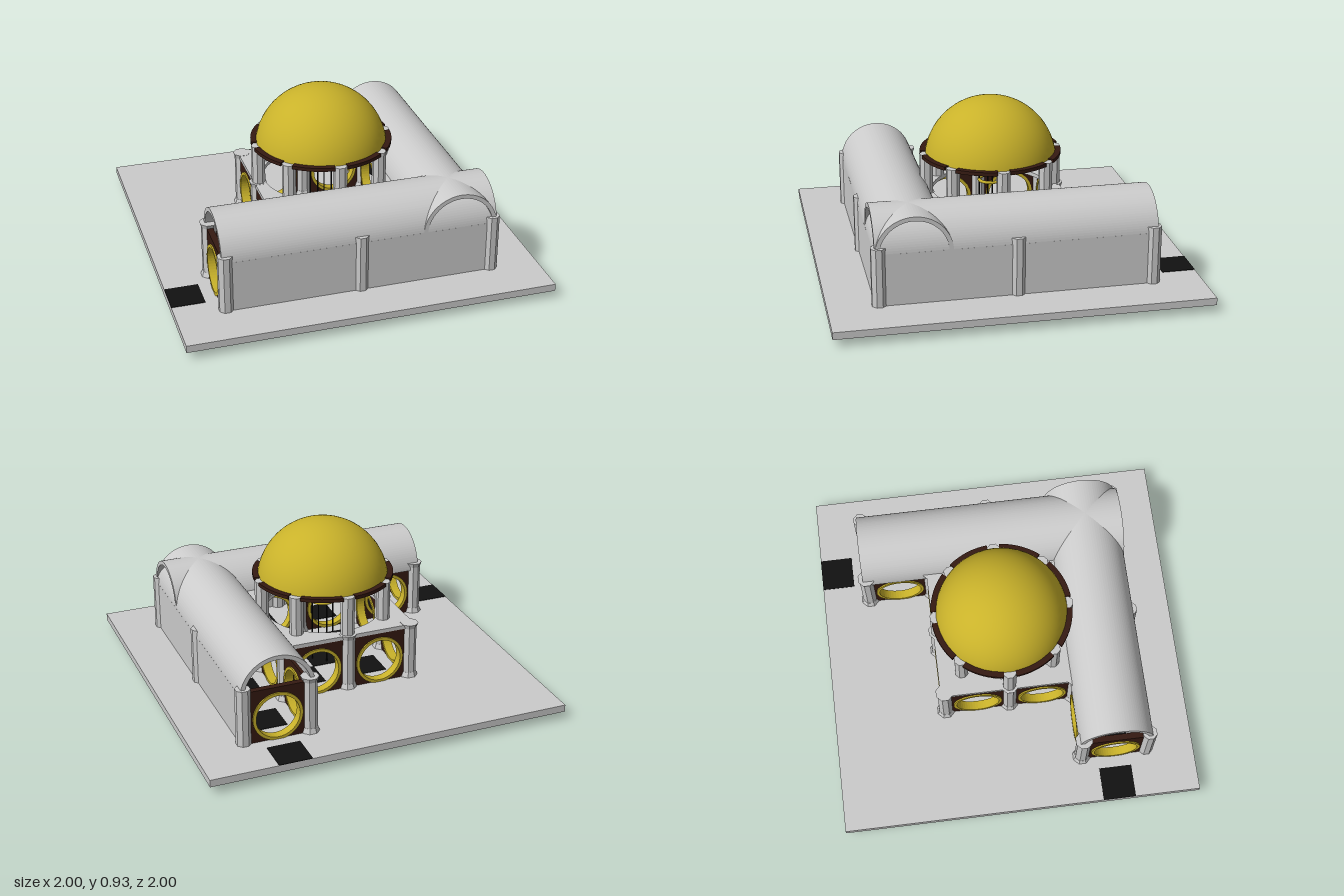
import * as THREE from 'three';

const GREY = new THREE.MeshStandardMaterial({ color: 0xcccccc, side: THREE.DoubleSide });
const STONE = new THREE.MeshStandardMaterial({ color: 0xcccccc, flatShading: true });
const GOLD = new THREE.MeshStandardMaterial({ color: 0xc9b22a, side: THREE.DoubleSide });
const BROWN = new THREE.MeshStandardMaterial({ color: 0x351a12 });
const BLACK = new THREE.MeshStandardMaterial({ color: 0x111111 });

const BAY = 0.365;      // spacing of the column grid
const FLOOR = 0.085;    // top of the ground slab
const MID = 0.545;      // centre line of both wings

export function createModel() {
  const model = new THREE.Group();

  const add = (parent, name, geometry, material, x = 0, y = 0, z = 0) => {
    const mesh = new THREE.Mesh(geometry, material);
    mesh.name = name;
    mesh.position.set(x, y, z);
    parent.add(mesh);
    return mesh;
  };
  const group = (name, parent = model) => {
    const g = new THREE.Group();
    g.name = name;
    parent.add(g);
    return g;
  };
  const box = (parent, name, material, [x0, x1], [y0, y1], [z0, z1]) =>
    add(parent, name, new THREE.BoxGeometry(x1 - x0, y1 - y0, z1 - z0), material,
      (x0 + x1) / 2, (y0 + y1) / 2, (z0 + z1) / 2);
  const extrude = (shape, depth, curveSegments = 24) =>
    new THREE.ExtrudeGeometry(shape, { depth, bevelEnabled: false, curveSegments })
      .translate(0, 0, -depth / 2);

  // Ground slab
  box(model, 'groundSlab', GREY, [-1, 1], [0.045, FLOOR], [-1, 1]);

  // Dark floor tiles along both walkways and under the dome
  const tiles = group('floorTiles');
  const tile = (x, z) =>
    add(tiles, 'floorTile', new THREE.BoxGeometry(0.182, 0.004, 0.182), BLACK, x, FLOOR + 0.001, z);
  for (let i = 0; i < 5; i++) {
    const p = -0.909 + i * 0.3635;
    tile(p, MID);
    if (i < 4) tile(MID, p);
  }
  for (let i = -1; i <= 1; i++)
    for (let j = -1; j <= 1; j++)
      if ((i + j) % 2 === 0) tile(i * 0.182, j * 0.182);

  // Closed outer walls of the L
  box(model, 'frontWall', GREY, [-0.75, 0.75], [0.04, 0.37], [0.72, 0.75]);
  box(model, 'sideWall', GREY, [0.72, 0.75], [0.04, 0.37], [-0.75, 0.72]);

  // Two barrel vaults crossing at the corner
  const arc = new THREE.Shape();
  arc.absarc(0, 0, 0.205, 0, Math.PI, false);
  arc.absarc(0, 0, 0.182, Math.PI, 0, true);
  arc.closePath();
  add(model, 'sideVault', extrude(arc, 1.5), GREY, MID, 0.36, 0);
  add(model, 'frontVault', extrude(arc, 1.5), GREY, 0, 0.36, MID).rotation.y = Math.PI / 2;

  // Arcade panels with a round opening and gold rims
  const panelShape = new THREE.Shape();
  panelShape.moveTo(-0.155, 0.035).lineTo(0.155, 0.035).lineTo(0.155, 0.385)
    .lineTo(-0.155, 0.385).closePath();
  const hole = new THREE.Path();
  hole.absarc(0, 0.218, 0.13, 0, Math.PI * 2, true);
  panelShape.holes.push(hole);
  const rimShape = new THREE.Shape();
  rimShape.absarc(0, 0.218, 0.137, 0, Math.PI * 2, false);
  const rimHole = new THREE.Path();
  rimHole.absarc(0, 0.218, 0.12, 0, Math.PI * 2, true);
  rimShape.holes.push(rimHole);
  const panelGeo = extrude(panelShape, 0.034);
  const rimGeo = extrude(rimShape, 0.05);

  const arcade = group('arcade');
  const addBay = (x, z, turned) => {
    const bay = group('archBay', arcade);
    bay.position.set(x, 0, z);
    bay.rotation.y = turned ? Math.PI / 2 : 0;
    add(bay, 'archPanel', panelGeo, BROWN);
    add(bay, 'archRim', rimGeo, GOLD);
  };
  // Each bay and its mirror across the diagonal
  const pairs = [[-1.5, 1], [-0.5, 1], [0.5, 1], [-0.5, -1], [0.5, -1], [1.5, -2]];
  for (const [u, v] of pairs) {
    addBay(u * BAY, v * BAY, false);
    addBay(v * BAY, u * BAY, true);
  }

  // Columns on the grid points
  const columns = group('columns');
  const addColumn = (i, j, based) => {
    const c = group('column', columns);
    c.position.set(i * BAY, 0, j * BAY);
    add(c, 'columnShaft', new THREE.CylinderGeometry(0.041, 0.041, 0.32, 8).rotateY(Math.PI / 8),
      STONE, 0, FLOOR + 0.16, 0);
    if (!based) return;
    add(c, 'columnBase', new THREE.CylinderGeometry(0.042, 0.052, 0.028, 8).rotateY(Math.PI / 8),
      STONE, 0, FLOOR + 0.014, 0);
    add(c, 'columnCapital', new THREE.CylinderGeometry(0.05, 0.041, 0.025, 8).rotateY(Math.PI / 8),
      STONE, 0, 0.393, 0);
  };
  for (let i = -1; i <= 1; i++)
    for (let j = -1; j <= 1; j++)
      if (i || j) addColumn(i, j, true);
  for (const [i, j] of [[-2, 1], [1, -2]]) addColumn(i, j, true);
  for (const [i, j] of [[-2, 2], [0, 2], [2, 2], [2, 0], [2, -2]]) addColumn(i, j, false);

  // Flat pavilion roof, open beneath the dome
  const roof = new THREE.Shape();
  roof.moveTo(-0.387, -0.35).lineTo(0.35, -0.35).lineTo(0.35, 0.387)
    .lineTo(-0.387, 0.387).closePath();
  const oculus = new THREE.Path();
  oculus.absarc(0, 0, 0.325, 0, Math.PI * 2, true);
  roof.holes.push(oculus);
  add(model, 'pavilionRoof', extrude(roof, 0.022), GREY, 0, 0.393, 0).rotation.x = -Math.PI / 2;

  // Ring of columns and dark lintels carrying the dome
  const drum = group('drum');
  const lintel = new THREE.Shape();
  lintel.absarc(0, 0, 0.39, 0.09, Math.PI / 4 - 0.09, false);
  lintel.absarc(0, 0, 0.345, Math.PI / 4 - 0.09, 0.09, true);
  lintel.closePath();
  const lintelGeo = extrude(lintel, 0.02, 10).rotateX(-Math.PI / 2);
  for (let k = 0; k < 8; k++) {
    const a = k * Math.PI / 4;
    add(drum, 'drumColumn', new THREE.CylinderGeometry(0.038, 0.038, 0.225, 8).rotateY(Math.PI / 8),
      STONE, Math.cos(a) * 0.36, 0.513, Math.sin(a) * 0.36);
    add(drum, 'drumLintel', lintelGeo, BROWN, 0, 0.622, 0).rotation.y = a;
  }

  // Gold dome
  const R = 0.366, cy = 0.563;
  add(model, 'dome', new THREE.SphereGeometry(R, 48, 20, 0, Math.PI * 2, 0, Math.acos(0.062 / R)),
    GOLD, 0, cy, 0);

  // Slender stand with gold hoops at the centre
  const stand = group('centreStand');
  for (let k = 0; k < 4; k++) {
    const a = k * Math.PI / 2;
    add(stand, 'standRod', new THREE.CylinderGeometry(0.004, 0.004, 0.575, 6), BLACK,
      Math.cos(a) * 0.062, 0.2875, Math.sin(a) * 0.062);
  }
  for (const y of [0.45, 0.575])
    add(stand, 'standHoop', new THREE.TorusGeometry(0.062, 0.009, 8, 32).rotateX(Math.PI / 2),
      GOLD, 0, y, 0);

  return model;
}
